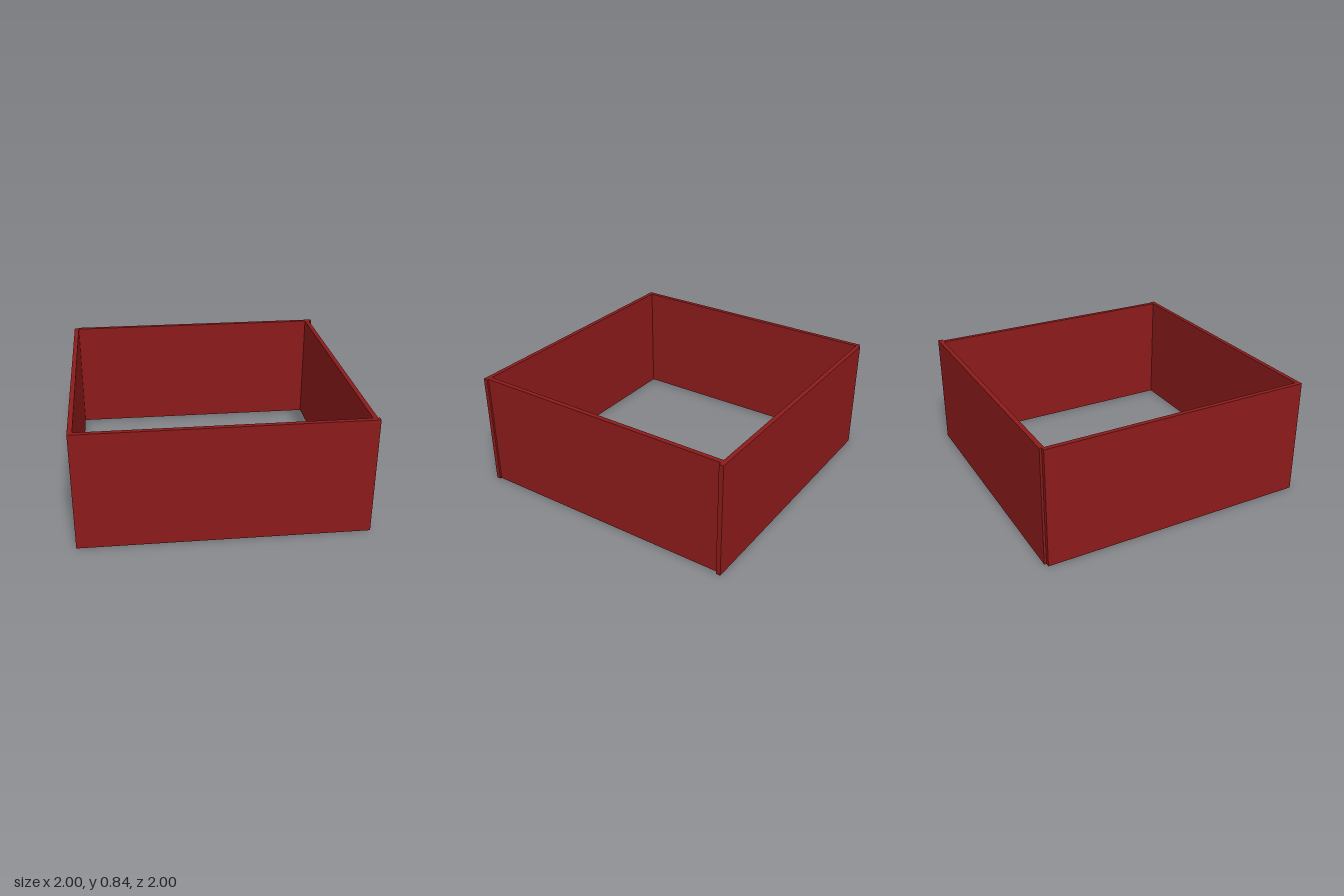
import * as THREE from 'three';

const HEIGHT = 0.84;
const THICK = 0.033;
const SKEW = -0.0142; // slight turn of the front and back boards

export function createModel() {
  const frame = new THREE.Group();
  frame.name = 'openFrame';
  const material = new THREE.MeshStandardMaterial({ color: 0x8b1a1a });

  // One upright board, standing on the ground
  const addBoard = (name, width, depth, x, z, turn = 0) => {
    const board = new THREE.Mesh(new THREE.BoxGeometry(width, HEIGHT, depth), material);
    board.name = name;
    board.position.set(x, HEIGHT / 2, z);
    board.rotation.y = turn;
    frame.add(board);
  };

  // Front and back boards, slightly skewed
  addBoard('frontBoard', 1.99, THICK, -0.004, 0.969, SKEW);
  addBoard('backBoard', 1.97, THICK, 0.015, -0.969, SKEW);

  // Side boards, straight
  addBoard('leftBoard', THICK, 1.93, 0.962, 0.015);
  addBoard('rightBoard', THICK, 1.95, -0.983, -0.009);

  return frame;
}
